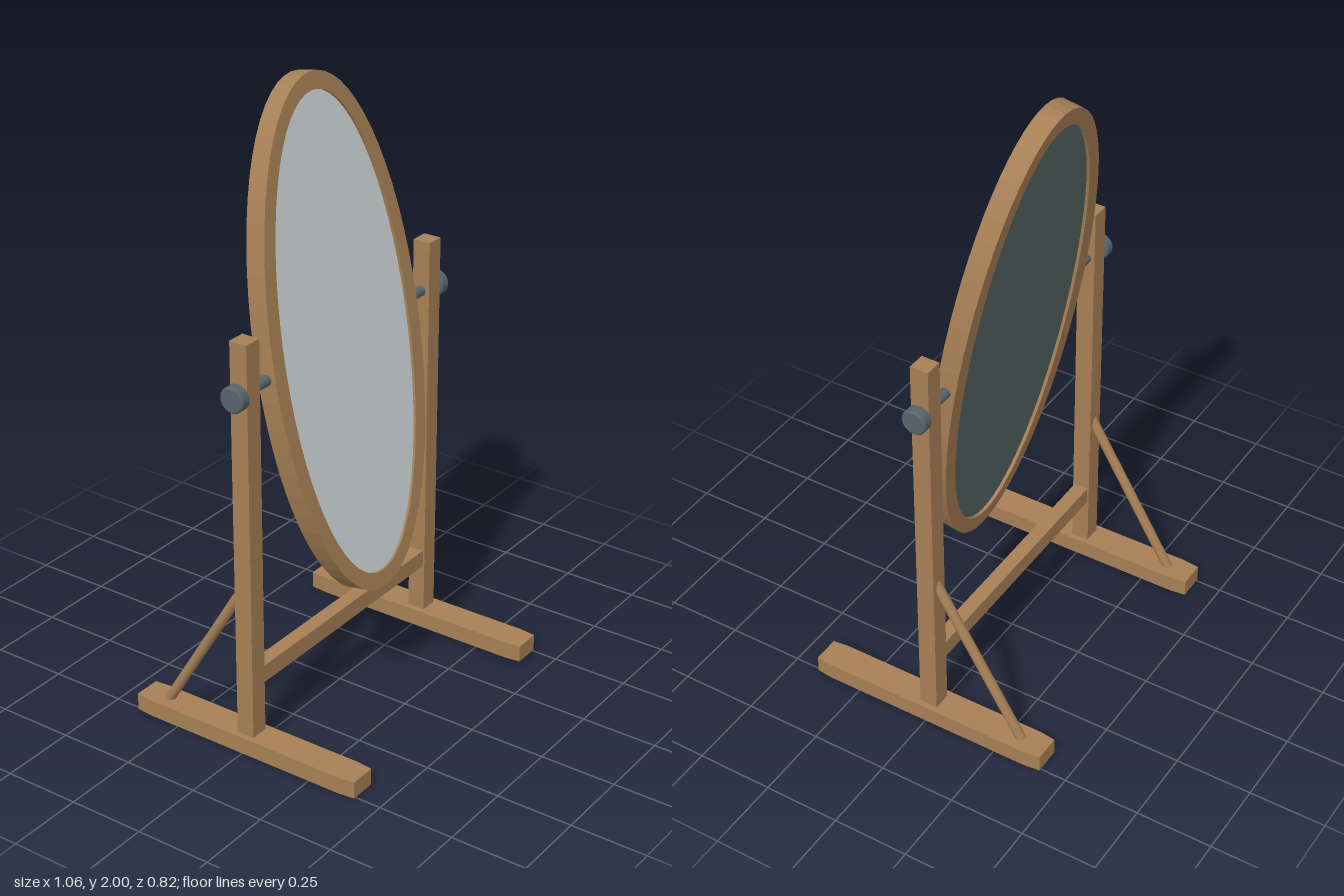
import * as THREE from 'three';

const mat = (color) => new THREE.MeshStandardMaterial({ color });
const wood = mat(0xa67f55);
const metal = mat(0x56646a);
const silver = mat(0xced6d9);
const backing = mat(0x566866);

const POST_X = 0.463;
const PIVOT_Y = 1.195;

function add(parent, name, geometry, material, x = 0, y = 0, z = 0) {
  const mesh = new THREE.Mesh(geometry, material);
  mesh.name = name;
  mesh.position.set(x, y, z);
  parent.add(mesh);
  return mesh;
}

// Points of an ellipse
function ellipse(rx, ry, n = 64) {
  return Array.from({ length: n }, (_, i) => {
    const a = (i / n) * Math.PI * 2;
    return new THREE.Vector2(Math.cos(a) * rx, Math.sin(a) * ry);
  });
}

// Flat slab from z0 to z1, with an optional hole
function slab(points, z0, z1, hole) {
  const shape = new THREE.Shape(points);
  if (hole) shape.holes.push(new THREE.Path(hole));
  return new THREE.ExtrudeGeometry(shape, { depth: z1 - z0, bevelEnabled: false }).translate(0, 0, z0);
}

// Round rod between two points
function rod(a, b, radius) {
  const dir = b.clone().sub(a);
  const g = new THREE.CylinderGeometry(radius, radius, dir.length(), 16);
  g.applyQuaternion(new THREE.Quaternion().setFromUnitVectors(new THREE.Vector3(0, 1, 0), dir.normalize()));
  return g.translate(...a.clone().add(b).multiplyScalar(0.5).toArray());
}

// Foot plank whose ends taper slightly
function footGeometry() {
  const w = 0.05, e = 0.044, l = 0.412, s = 0.36;
  const corners = [[w, -s], [w, s], [e, l], [-e, l], [-w, s], [-w, -s], [-e, -l], [e, -l]];
  return slab(corners.map(([x, y]) => new THREE.Vector2(x, y)), 0, 0.056).rotateX(-Math.PI / 2);
}

// Turning knob with eased rims
function knobGeometry() {
  const profile = [[0, -0.019], [0.036, -0.019], [0.041, -0.014], [0.041, 0.014], [0.036, 0.019], [0, 0.019]];
  const lathe = new THREE.LatheGeometry(profile.map(([r, y]) => new THREE.Vector2(r, y)), 24);
  const flat = lathe.toNonIndexed();
  flat.computeVertexNormals();
  return flat.rotateZ(-Math.PI / 2);
}

export function createModel() {
  const model = new THREE.Group();
  model.name = 'tiltingMirror';

  // Tilted oval mirror
  const mirror = new THREE.Group();
  mirror.name = 'mirror';
  mirror.position.y = PIVOT_Y;
  mirror.rotation.x = -THREE.MathUtils.degToRad(10);
  model.add(mirror);
  const inner = ellipse(0.309, 0.757);
  add(mirror, 'mirrorFrame', slab(ellipse(0.362, 0.811), -0.0325, 0.0325, inner), wood);
  add(mirror, 'mirrorGlass', slab(inner, 0, 0.024), silver);
  add(mirror, 'mirrorBacking', slab(inner, -0.022, 0), backing);

  // Stand: one side each for left and right
  for (const side of [1, -1]) {
    const stand = new THREE.Group();
    stand.name = side > 0 ? 'leftStand' : 'rightStand';
    model.add(stand);
    const x = side * POST_X;
    add(stand, 'foot', footGeometry(), wood, x);
    add(stand, 'post', new THREE.BoxGeometry(0.06, 1.306, 0.06), wood, x, 0.707, 0);
    add(stand, 'brace', rod(new THREE.Vector3(0, 0.572, -0.005), new THREE.Vector3(0, 0.035, -0.33), 0.016), wood, x);
    add(stand, 'axle', rod(new THREE.Vector3(side * 0.345, 0, 0), new THREE.Vector3(side * 0.5, 0, 0), 0.017), metal, 0, PIVOT_Y);
    add(stand, 'knob', knobGeometry(), metal, side * 0.511, PIVOT_Y);
  }

  // Rail joining the posts
  add(model, 'crossRail', new THREE.BoxGeometry(POST_X * 2 - 0.06, 0.058, 0.048), wood, 0, 0.247, 0);

  return model;
}
